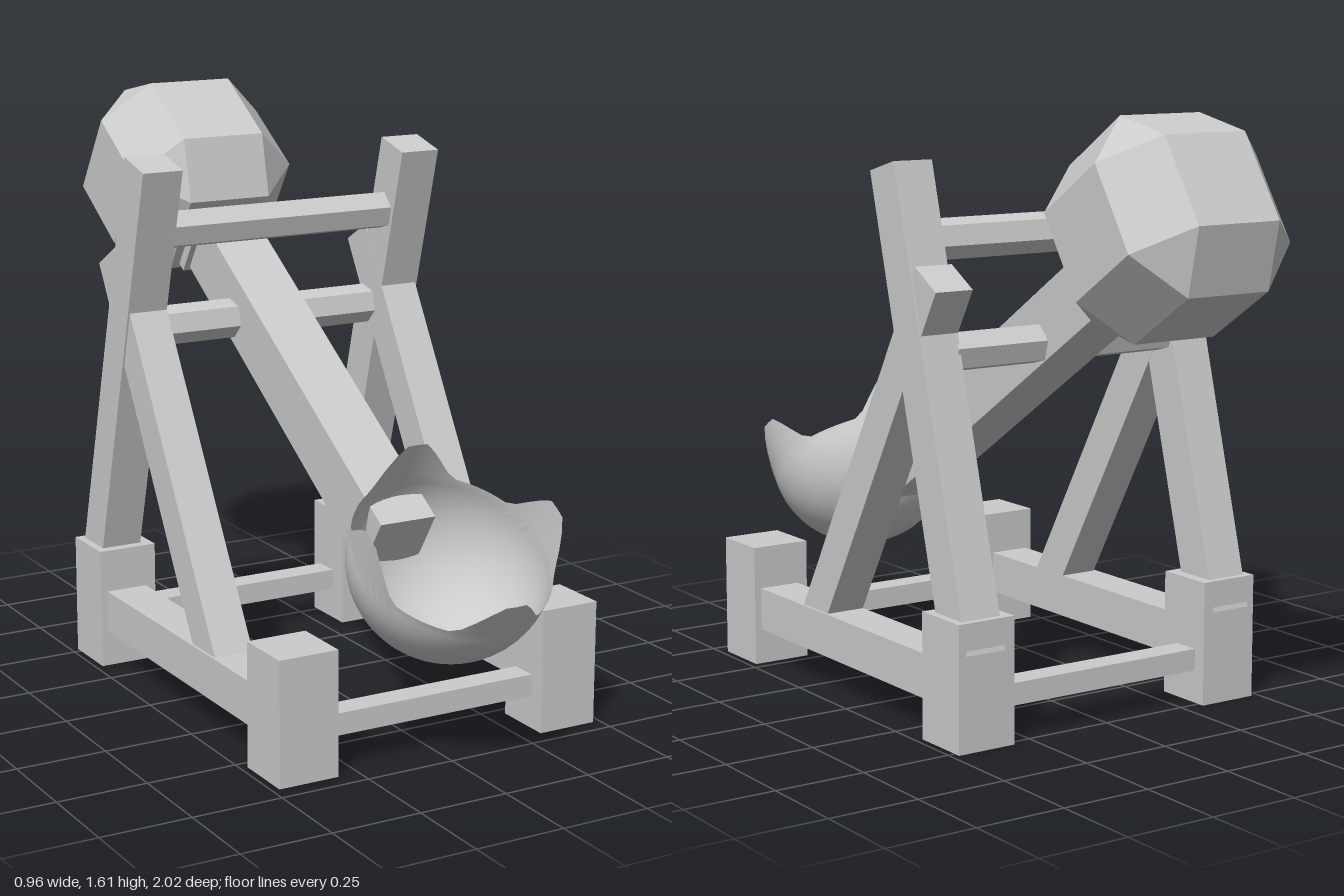
import * as THREE from 'three';
import { ConvexGeometry } from 'three/addons/geometries/ConvexGeometry.js';
import { ParametricGeometry } from 'three/addons/geometries/ParametricGeometry.js';

const flat = new THREE.MeshStandardMaterial({ color: 0xcccccc, flatShading: true });
const smooth = new THREE.MeshStandardMaterial({ color: 0xcccccc, side: THREE.DoubleSide });

function add(parent, name, geometry, x, y, z, material = flat) {
  const mesh = new THREE.Mesh(geometry, material);
  mesh.name = name;
  mesh.position.set(x, y, z);
  parent.add(mesh);
  return mesh;
}

const box = (w, h, d) => new THREE.BoxGeometry(w, h, d);

// Leaning square beam between two (y, z) points in the plane at x
function beam(parent, name, x, width, [y0, z0], [y1, z1]) {
  const length = Math.hypot(y1 - y0, z1 - z0);
  const mesh = add(parent, name, box(width, length, width), x, (y0 + y1) / 2, (z0 + z1) / 2);
  mesh.rotation.x = Math.atan2(z1 - z0, y1 - y0);
}

// Hexagonal bar across the frame, with one corner turned to the given angle
function hexBar(parent, name, y, z, degrees) {
  const geometry = new THREE.CylinderGeometry(0.055, 0.055, 0.7, 6);
  geometry.rotateZ(Math.PI / 2);
  geometry.rotateX(-THREE.MathUtils.degToRad(degrees));
  add(parent, name, geometry, 0, y, z);
}

// Block with bevelled edges and corners
function counterweightGeometry(inner, outer) {
  const points = [];
  for (const sx of [-1, 1]) for (const sy of [-1, 1]) for (const sz of [-1, 1]) {
    for (let axis = 0; axis < 3; axis++) {
      const p = [sx * inner, sy * inner, sz * inner];
      p[axis] *= outer / inner;
      points.push(new THREE.Vector3(...p));
    }
  }
  return new ConvexGeometry(points);
}

// Round bowl opening to +z, its rim rising to four blunt points
function bowlGeometry(radius) {
  return new ParametricGeometry((u, v, target) => {
    const degrees = u * 360;
    const fromPoint = Math.abs(degrees - 90 * Math.round(degrees / 90));
    const rise = 0.02 + 0.11 * THREE.MathUtils.clamp((27 - fromPoint) / 20, 0, 1);
    const angle = v * (Math.PI / 2 + rise / radius);
    const over = Math.max(0, angle - Math.PI / 2);
    const r = over > 0 ? radius * (1 + over * 0.08) : radius * Math.sin(angle);
    const z = over > 0 ? radius * over : -radius * Math.cos(angle);
    const phi = u * Math.PI * 2;
    target.set(-r * Math.sin(phi), r * Math.cos(phi), z);
  }, 60, 20);
}

export function createModel() {
  const model = new THREE.Group();
  model.name = 'catapult';

  // Base and side frames
  for (const [side, s] of [['left', 1], ['right', -1]]) {
    const frame = new THREE.Group();
    frame.name = side + 'Frame';
    model.add(frame);
    add(frame, 'frontFoot', box(0.17, 0.34, 0.17), s * 0.395, 0.17, 0.615);
    add(frame, 'backFoot', box(0.17, 0.34, 0.17), s * 0.395, 0.17, -0.435);
    add(frame, 'sideRail', box(0.12, 0.12, 1), s * 0.4, 0.16, 0.09);
    beam(frame, 'post', s * 0.4, 0.117, [0.24, -0.467], [1.465, -0.135]);
    beam(frame, 'brace', s * 0.397, 0.112, [0.17, 0.264], [1.19, -0.33]);
  }
  add(model, 'frontCrossbar', box(0.66, 0.06, 0.075), 0, 0.12, 0.615);
  add(model, 'backCrossbar', box(0.66, 0.06, 0.075), 0, 0.12, -0.445);
  hexBar(model, 'stopBar', 1.273, -0.19, 15);
  hexBar(model, 'axle', 0.99, -0.275, 45);

  // Throwing arm: local y runs up the arm, local z faces up and forward
  const arm = new THREE.Group();
  arm.name = 'throwingArm';
  arm.position.set(-0.012, 1.328, -0.72);
  arm.rotation.x = THREE.MathUtils.degToRad(-57);
  model.add(arm);
  add(arm, 'counterweight', counterweightGeometry(0.125, 0.253), 0, 0, 0);
  add(arm, 'collar', box(0.2, 0.03, 0.2), 0, -0.268, -0.01);
  add(arm, 'armBeam', box(0.165, 1.24, 0.17), 0, -0.84, -0.013);
  add(arm, 'bowl', bowlGeometry(0.268), 0.02, -1.636, 0.117, smooth);

  return model;
}
